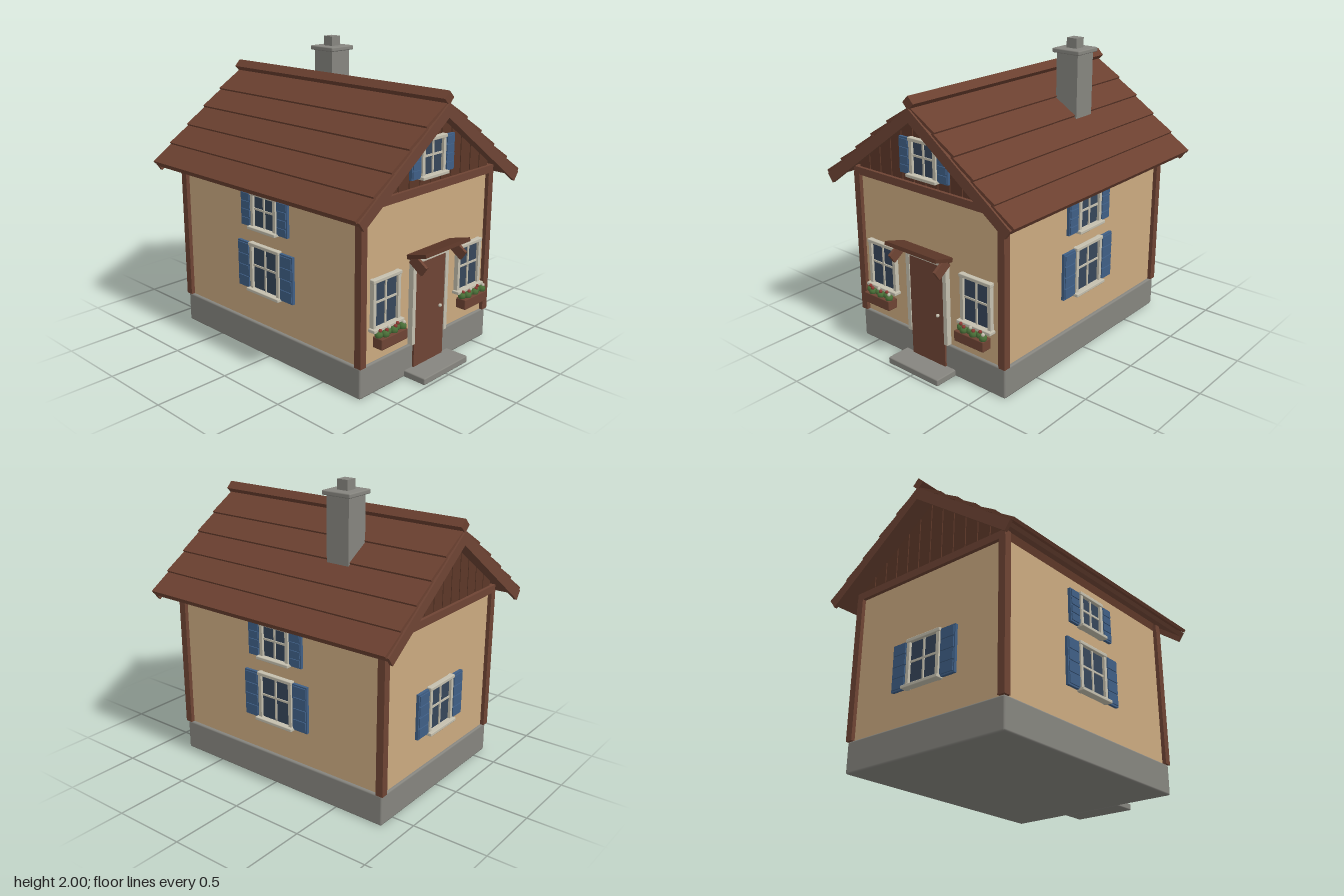
import * as THREE from 'three';
import { RoundedBoxGeometry } from 'three/addons/geometries/RoundedBoxGeometry.js';

const mat = (name, color) => {
  const m = new THREE.MeshStandardMaterial({ color });
  m.name = name;
  return m;
};

export function createModel() {
  const house = new THREE.Group();
  house.name = 'house';
  const plaster = mat('plaster', 0xcbaa80), stone = mat('stone', 0x86857f);
  const wood = mat('wood', 0x6e4434), darkWood = mat('darkWood', 0x5c3728), roofRed = mat('roof', 0x6b4030);
  const trim = mat('trim', 0xc4bfae), glass = mat('glass', 0x36465a), blue = mat('shutterBlue', 0x3f5f86);
  const green = mat('leafGreen', 0x4a7038), red = mat('flowerRed', 0x8e3b34);

  const add = (parent, name, geo, material, x = 0, y = 0, z = 0) => {
    const m = new THREE.Mesh(geo, material);
    m.name = name;
    m.position.set(x, y, z);
    parent.add(m);
    return m;
  };
  const box = (parent, name, material, w, h, d, x, y, z) =>
    add(parent, name, new THREE.BoxGeometry(w, h, d), material, x, y, z);
  const block = (parent, name, material, w, h, d, x, y, z, r = 0.01) =>
    add(parent, name, new RoundedBoxGeometry(w, h, d, 1, r), material, x, y, z);
  // Polygon in x-y extruded from z0 to z1
  const prism = (name, material, pts, z0, z1) => {
    const shape = new THREE.Shape(pts.map(([x, y]) => new THREE.Vector2(x, y)));
    const geo = new THREE.ExtrudeGeometry(shape, { depth: z1 - z0, bevelEnabled: false });
    return add(house, name, geo, material, 0, 0, z0);
  };
  // Sloping board with top edge from a (eaves) to b (ridge), mitred where it reaches x = 0
  const slopedBoard = (name, material, a, b, t, z0, z1, side) => {
    const dx = a[0] - b[0], dy = b[1] - a[1], len = Math.hypot(dx, dy);
    const nx = dy / len * t, ny = dx / len * t;
    const end = b[0] === 0 ? [0, b[1] - t * len / dx] : [b[0] - nx, b[1] - ny];
    const pts = [a, b, end, [a[0] - nx, a[1] - ny]];
    prism(name, material, pts.map(([x, y]) => [x * side, y]), z0, z1);
  };

  // Plinth, walls and corner posts
  const C = -0.017;
  block(house, 'foundation', stone, 1.26, 0.205, 1.668, 0, 0.1025, C, 0.012);
  box(house, 'walls', plaster, 1.22, 1.0, 1.635, 0, 0.7, C);
  for (const sx of [-1, 1]) for (const sz of [-1, 1])
    box(house, 'cornerPost', wood, 0.05, 0.98, 0.05, 0.612 * sx, 0.695, C + 0.819 * sz);

  // Gables: core, vertical planks and cross beam at each end
  const under = x => 1.685 - 0.71 * Math.abs(x);
  prism('gableCore', darkWood, [[-0.61, 1.18], [0.61, 1.18], [0.61, under(0.61)], [0, under(0)], [-0.61, under(0.61)]], C - 0.808, C + 0.808);
  for (const sz of [-1, 1]) {
    const z = C + sz * 0.814;
    for (let i = -6; i < 6; i++) {
      const x0 = i * 0.1 + 0.004, x1 = x0 + 0.092;
      prism('gablePlank', darkWood, [[x0, 1.18], [x1, 1.18], [x1, under(x1)], [x0, under(x0)]], z - 0.007, z + 0.007);
    }
    box(house, 'gableBeam', wood, 1.27, 0.05, 0.05, 0, 1.197, C + sz * 0.818);
  }

  // Roof: underlay, overlapping courses, verge boards and ridge
  const rows = [[0.79, 1.185], [0.648, 1.292], [0.497, 1.4], [0.35, 1.51], [0.2, 1.617], [0, 1.755]];
  for (const side of [-1, 1]) {
    slopedBoard('roofUnderlay', wood, [0.765, 1.163], [0, 1.706], 0.025, -0.955, 0.912, side);
    for (let i = 0; i < 5; i++) {
      const a = rows[i], n = rows[i + 1];
      const b = i === 4 ? [0, n[1] - 0.02] : [n[0] - 0.02, n[1] - 0.004];
      slopedBoard('roofCourse', roofRed, a, b, 0.02, -0.965, 0.92, side);
    }
    for (const [z0, z1] of [[0.91, 0.932], [-0.976, -0.954]])
      slopedBoard('vergeBoard', wood, [0.77, 1.17], [0, 1.727], 0.07, z0, z1, side);
  }
  const ridge = box(house, 'ridgeBeam', roofRed, 0.062, 0.062, 1.9, 0, 1.757, -0.022);
  ridge.rotation.z = Math.PI / 4;

  // Chimney
  box(house, 'chimney', stone, 0.167, 0.5, 0.167, 0.276, 1.66, -0.305);
  block(house, 'chimneyCap', stone, 0.212, 0.03, 0.212, 0.276, 1.92, -0.305, 0.008);
  box(house, 'chimneyPot', stone, 0.078, 0.07, 0.078, 0.276, 1.965, -0.305);

  // Window facing +z with its back on z = 0; sw is shutter width
  const makeWindow = (name, w, h, sw, x, y, z, turn = 0) => {
    const g = new THREE.Group();
    g.name = name;
    g.position.set(x, y, z);
    g.rotation.y = turn;
    house.add(g);
    const f = 0.024;
    box(g, 'pane', glass, w - f, h - f, 0.012, 0, 0, 0.006);
    for (const s of [-1, 1]) {
      box(g, 'jamb', trim, f, h, 0.03, s * (w - f) / 2, 0, 0.015);
      if (!sw) continue;
      const sxp = s * (w / 2 + 0.005 + sw / 2), sh = h - 0.02;
      box(g, 'shutter', blue, sw, sh, 0.02, sxp, 0, 0.012);
      for (let i = 0; i < 4; i++)
        box(g, 'shutterPanel', blue, sw - 0.016, sh / 4 - 0.014, 0.008, sxp, (i - 1.5) * (sh - 0.01) / 4, 0.025);
    }
    block(g, 'lintel', trim, w + 0.012, f, 0.036, 0, (h - f) / 2, 0.018, 0.005);
    block(g, 'sill', trim, w + 0.03, 0.022, 0.053, 0, -(h - 0.022) / 2, 0.0265, 0.005);
    box(g, 'mullion', trim, 0.013, h - f, 0.02, 0, 0, 0.01);
    box(g, 'transom', trim, w - f, 0.013, 0.018, 0, 0.012, 0.01);
    return g;
  };
  const front = C + 0.8175, back = C - 0.8175;
  makeWindow('gableWindow', 0.222, 0.25, 0.087, 0, 1.39, C + 0.82);
  makeWindow('backWindow', 0.27, 0.325, 0.118, 0, 0.582, back, Math.PI);
  for (const s of [-1, 1]) {
    makeWindow('upperSideWindow', 0.235, 0.25, 0.095, 0.61 * s, 0.984, C, s * Math.PI / 2);
    makeWindow('lowerSideWindow', 0.276, 0.335, 0.117, 0.61 * s, 0.597, C, s * Math.PI / 2);
    makeWindow('frontWindow', 0.245, 0.33, 0, 0.408 * s, 0.578, front);

    // Flower box
    block(house, 'flowerBox', wood, 0.236, 0.07, 0.075, 0.408 * s, 0.35, 0.858, 0.006);
    for (let i = 0; i < 6; i++) {
      const x = 0.408 * s + (i - 2.5) * 0.039, z = 0.86 + (i % 2 ? 0.01 : -0.008);
      add(house, 'leaves', new THREE.IcosahedronGeometry(0.026, 1), green, x, 0.398, z);
      add(house, 'blossom', new THREE.IcosahedronGeometry(0.012, 1), i % 3 === 2 ? trim : red, x + 0.006, 0.424, z + 0.006);
    }
  }

  // Door, frame and step
  box(house, 'door', wood, 0.29, 0.7, 0.04, 0, 0.392, 0.81);
  for (const s of [-1, 1]) box(house, 'doorJamb', trim, 0.03, 0.56, 0.04, 0.16 * s, 0.487, 0.816);
  box(house, 'doorHead', trim, 0.35, 0.033, 0.04, 0, 0.757, 0.816);
  add(house, 'doorKnob', new THREE.SphereGeometry(0.012, 12, 8), trim, 0.098, 0.395, 0.838);
  block(house, 'doorStep', stone, 0.44, 0.045, 0.17, 0, 0.0225, 0.895, 0.008);

  // Door canopy with slanted brackets
  const canopy = box(house, 'canopy', darkWood, 0.44, 0.024, 0.15, 0, 0.822, 0.89);
  canopy.rotation.x = -0.27;
  box(house, 'canopyBeam', darkWood, 0.42, 0.03, 0.03, 0, 0.8, 0.826);
  for (const s of [-1, 1]) {
    const bracket = box(house, 'canopyBracket', wood, 0.02, 0.07, 0.115, 0.195 * s, 0.762, 0.888);
    bracket.rotation.x = 0.6;
  }
  return house;
}
